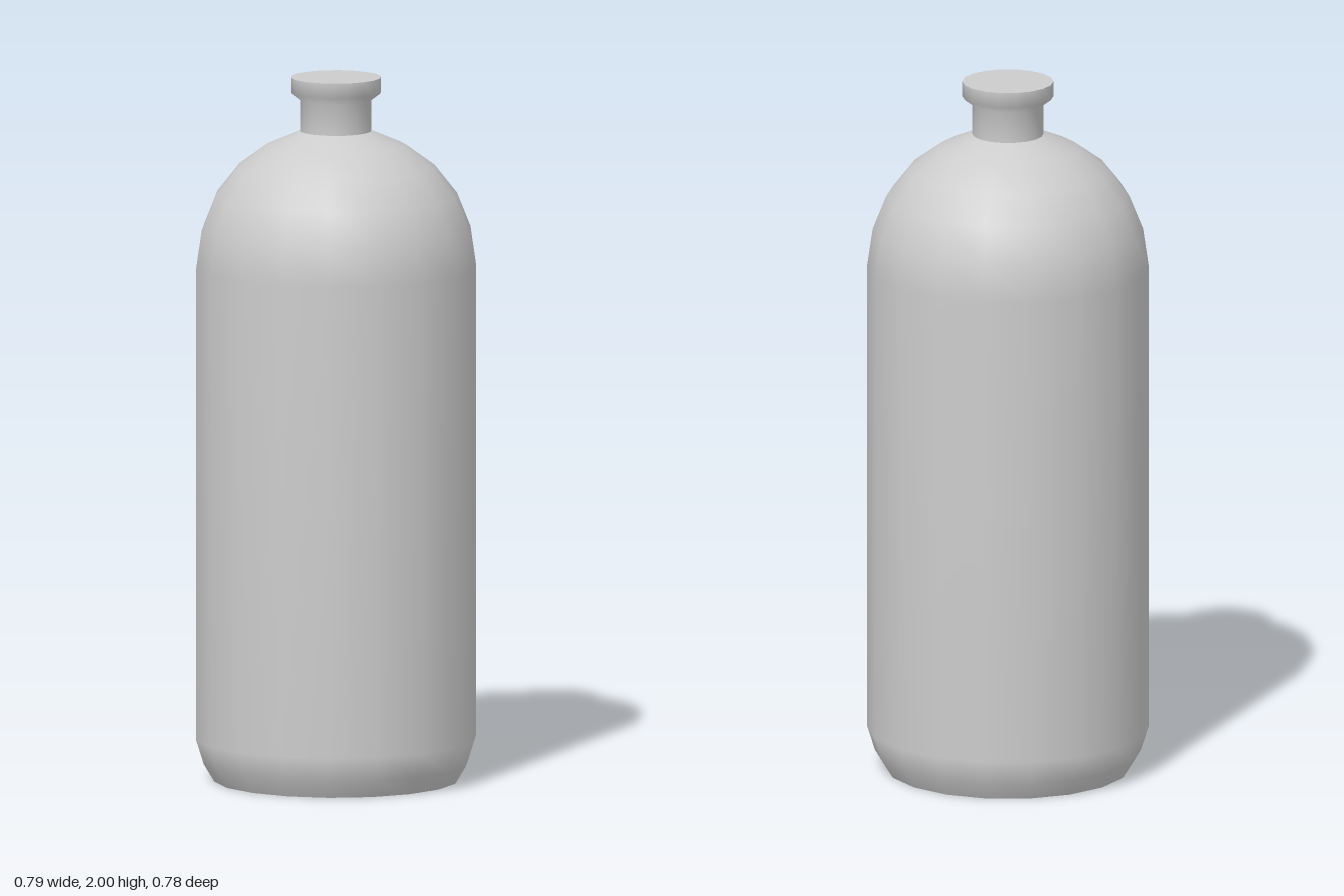
import * as THREE from 'three';

const SIDES = 18;
const START = Math.PI / 18; // puts corners on the x axis

export function createModel() {
  const group = new THREE.Group();
  const grey = new THREE.MeshStandardMaterial({ color: 0xcccccc });
  grey.name = 'grey';

  const add = (name, geometry) => {
    const mesh = new THREE.Mesh(geometry, grey);
    mesh.name = name;
    group.add(mesh);
    return mesh;
  };
  const lathe = (name, profile) => add(name, new THREE.LatheGeometry(
    profile.map(([r, y]) => new THREE.Vector2(r, y)), SIDES, START));
  const disc = (name, radius, y, facing) => {
    const mesh = add(name, new THREE.CircleGeometry(radius, SIDES));
    mesh.rotation.x = -facing * Math.PI / 2;
    mesh.position.y = y;
  };

  // Cylinder body with bevelled foot and domed shoulder
  lathe('body', [
    [0.345, 0], [0.375, 0.05], [0.397, 0.12], [0.397, 1.46],
    [0.381, 1.57], [0.343, 1.665], [0.28, 1.745], [0.198, 1.805], [0.1, 1.847],
  ]);
  disc('base', 0.345, 0, -1);

  // Neck flaring into the lip
  lathe('neck', [[0.1, 1.845], [0.1, 1.935], [0.128, 1.957], [0.128, 2]]);
  disc('top', 0.128, 2, 1);

  return group;
}
